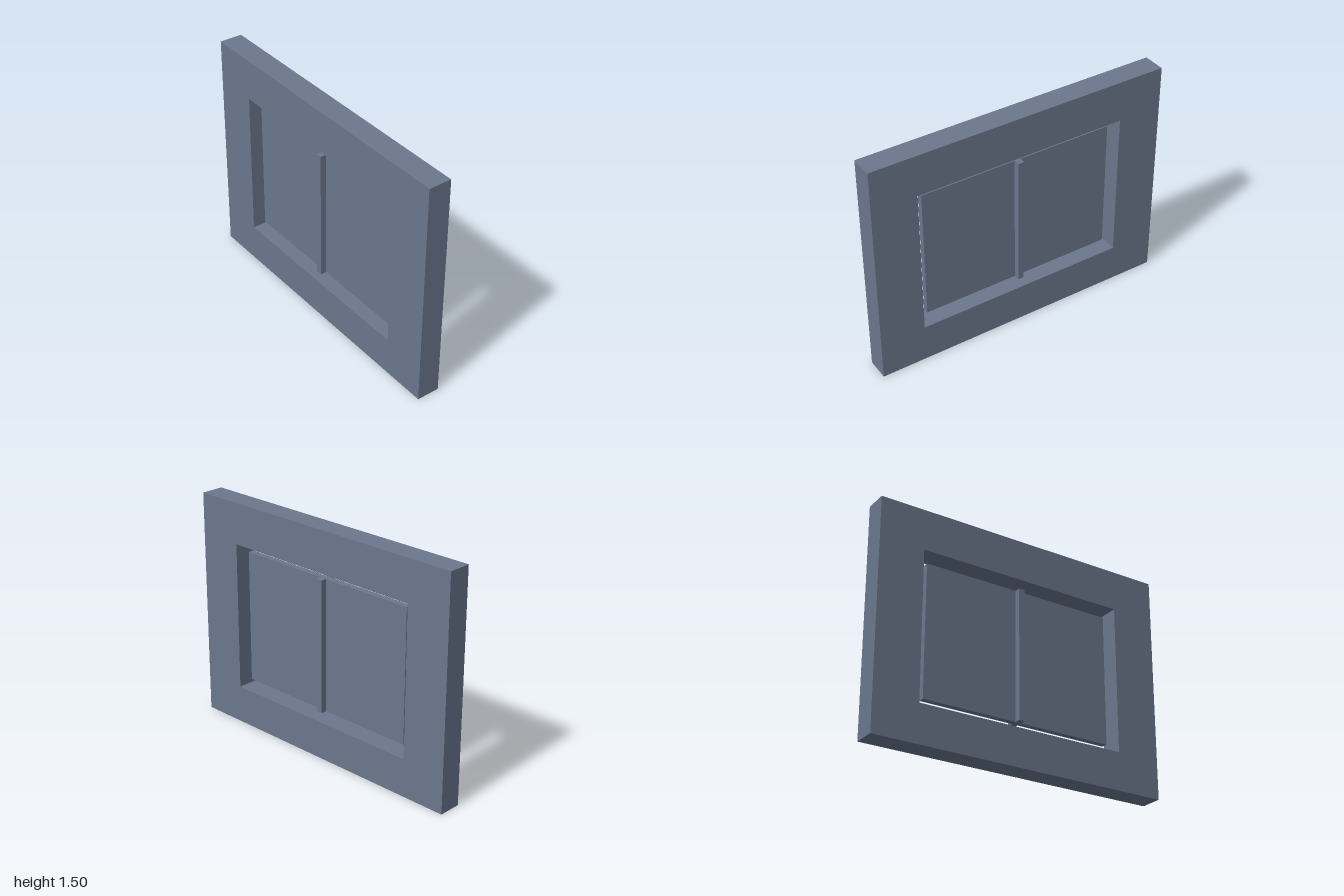
import * as THREE from 'three';

export function createModel() {
  const group = new THREE.Group();
  const slate = new THREE.MeshStandardMaterial({ color: 0x6b778d });
  slate.name = 'slate blue';

  const add = (name, geometry, y, z = 0) => {
    const mesh = new THREE.Mesh(geometry, slate);
    mesh.name = name;
    mesh.position.set(0, y, z);
    group.add(mesh);
  };

  // Rectangle outline from half width, bottom and top
  const rectangle = (Type, w, y0, y1) => new Type([
    new THREE.Vector2(-w, y0), new THREE.Vector2(w, y0),
    new THREE.Vector2(w, y1), new THREE.Vector2(-w, y1),
  ]);

  // Wall slab with a window opening
  const depth = 0.15;
  const wall = rectangle(THREE.Shape, 1, 0, 1.5);
  wall.holes.push(rectangle(THREE.Path, 0.703, 0.25, 1.23));
  add('wall', new THREE.ExtrudeGeometry(wall, { depth, bevelEnabled: false }), 0, -depth / 2);

  // Thin pane set inside the opening, with a gap all round
  const bottom = 0.305, top = 1.178;
  const height = top - bottom, middle = (top + bottom) / 2;
  add('pane', new THREE.BoxGeometry(1.302, height, 0.04), middle);

  // Central bar standing proud of both sides of the pane
  add('mullion', new THREE.BoxGeometry(0.04, height, 0.12), middle);

  return group;
}
